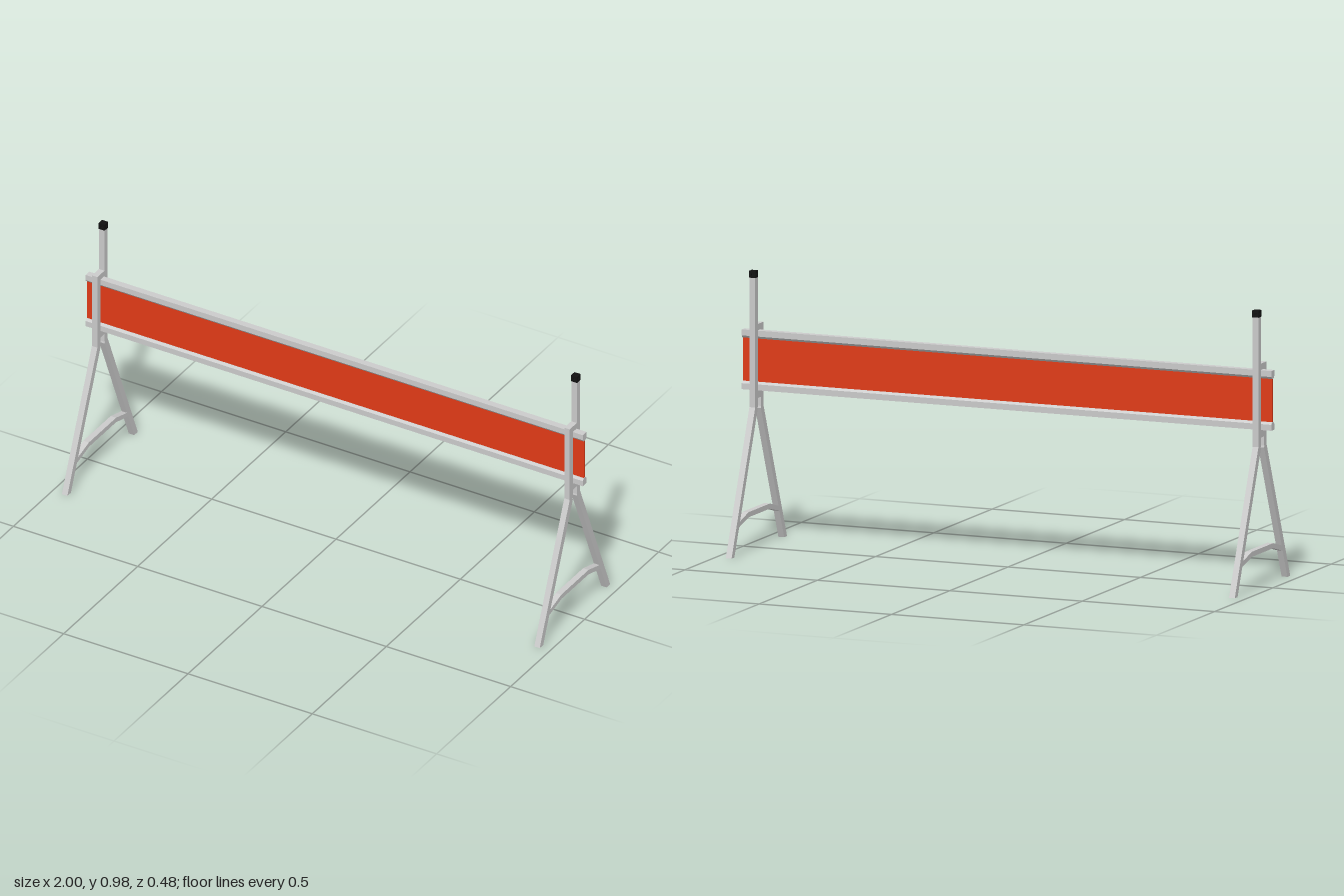
import * as THREE from 'three';

const grey = new THREE.MeshStandardMaterial({ color: 0xcccccc });
const red = new THREE.MeshStandardMaterial({ color: 0xe23b17 });
const black = new THREE.MeshStandardMaterial({ color: 0x111111 });
const TUBE = 0.022;

function box(name, parent, size, pos, material = grey) {
  const mesh = new THREE.Mesh(new THREE.BoxGeometry(...size), material);
  mesh.name = name;
  mesh.position.set(...pos);
  parent.add(mesh);
}

// Extrudes a [z, y] outline along x, centred on x = 0
function profile(name, parent, points, width) {
  const shape = new THREE.Shape(points.map(([z, y]) => new THREE.Vector2(z, y)));
  const geo = new THREE.ExtrudeGeometry(shape, { depth: width, bevelEnabled: false });
  geo.translate(0, 0, -width / 2).rotateY(-Math.PI / 2);
  const mesh = new THREE.Mesh(geo, grey);
  mesh.name = name;
  parent.add(mesh);
}

// Square cap with a small cross-drilled hole in both directions
function postCap(parent, y, z) {
  const cap = new THREE.Group();
  cap.name = 'postCap';
  cap.position.set(0, y, z);
  const s = 0.024, t = 0.008;
  for (const side of [-1, 1]) {
    box('capPlate', cap, [s, t, s], [0, side * t, 0], black);
    for (const end of [-1, 1]) box('capCorner', cap, [t, t, t], [side * t, 0, end * t], black);
  }
  parent.add(cap);
}

function trestle() {
  const g = new THREE.Group();
  g.name = 'trestle';

  // Uprights clasping the board: short in front, tall behind
  box('frontPost', g, [TUBE, 0.292, TUBE], [0, 0.641, 0.024]);
  box('rearPost', g, [TUBE, 0.459, TUBE], [0, 0.7245, -0.024]);
  box('topSpacer', g, [TUBE, 0.022, 0.026], [0, 0.776, 0]);
  box('bottomSpacer', g, [TUBE, 0.026, 0.026], [0, 0.54, 0]);
  postCap(g, 0.964, -0.024);

  // Splayed legs, cut flat on the ground
  for (const s of [1, -1]) {
    const leg = [[0.238, 0], [0.214, 0], [0.014, 0.487], [0.016, 0.497], [0.035, 0.497], [0.039, 0.487]];
    profile(s > 0 ? 'frontLeg' : 'rearLeg', g, leg.map(([z, y]) => [s * z, y]), TUBE);
  }

  // Arched brace between the legs
  const half = [[0.092, 0.139], [0.178, 0.115], [0.181, 0.097], [0.09, 0.121]];
  const mirrored = half.map(([z, y]) => [-z, y]).reverse();
  profile('legBrace', g, [...half, ...mirrored], TUBE);
  return g;
}

export function createModel() {
  const model = new THREE.Group();
  model.name = 'barrier';

  for (const x of [-0.95, 0.95]) {
    const t = trestle();
    t.position.x = x;
    model.add(t);
  }

  // Board with chamfered rails along both long edges
  box('boardPanel', model, [1.998, 0.17, 0.007], [0, 0.6585, 0], red);
  const rail = [[-0.0125, 0.105], [-0.0125, 0.084], [-0.006, 0.076], [0.006, 0.076], [0.0125, 0.084], [0.0125, 0.105]];
  for (const [name, s] of [['topRail', 1], ['bottomRail', -1]]) {
    profile(name, model, rail.map(([z, y]) => [z, 0.6585 + s * y]), 2);
  }
  return model;
}
